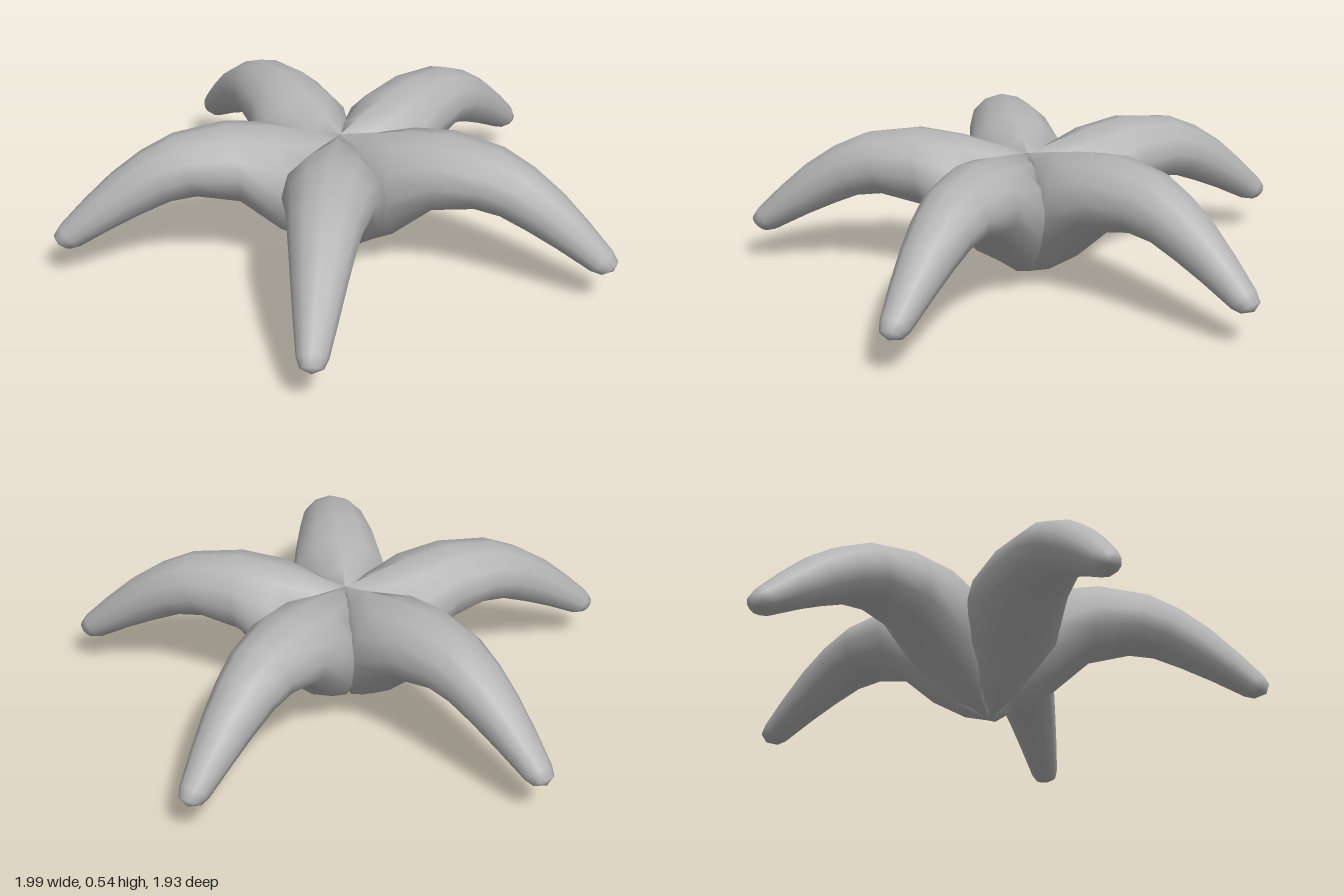
import * as THREE from 'three';

// Arm cross-sections from hub to tip: top (r, y), bottom (r, y), half-width
const SECTIONS = [
  [0, 0.46, 0, 0, 0.02],
  [0.1, 0.485, 0.1, 0.035, 0.125],
  [0.25, 0.52, 0.24, 0.125, 0.187],
  [0.41, 0.54, 0.38, 0.255, 0.158],
  [0.6, 0.515, 0.53, 0.29, 0.13],
  [0.72, 0.46, 0.62, 0.28, 0.112],
  [0.83, 0.385, 0.72, 0.24, 0.094],
  [0.93, 0.295, 0.83, 0.19, 0.075],
  [1.02, 0.205, 0.95, 0.128, 0.054],
  [1.043, 0.17, 0.985, 0.12, 0.04],
];
const TIP = [1.03, 0.135];
const SIDES = 12;

// Loft one arched, tapering arm along -z with a rounded tip
function armGeometry() {
  const positions = [];
  const indices = [];
  for (const [topR, topY, lowR, lowY, half] of SECTIONS) {
    for (let j = 0; j < SIDES; j++) {
      const t = (j / SIDES) * Math.PI * 2;
      const k = (Math.sin(t) + 1) / 2;
      positions.push(
        half * Math.cos(t),
        THREE.MathUtils.lerp(lowY, topY, k),
        -THREE.MathUtils.lerp(lowR, topR, k),
      );
    }
  }
  const apex = SECTIONS.length * SIDES;
  positions.push(0, TIP[1], -TIP[0]);
  for (let j = 0; j < SIDES; j++) {
    const n = (j + 1) % SIDES;
    for (let i = 0; i < SECTIONS.length - 1; i++) {
      const a = i * SIDES + j;
      const b = i * SIDES + n;
      indices.push(a, a + SIDES, b, b, a + SIDES, b + SIDES);
    }
    const last = apex - SIDES;
    indices.push(last + n, last + j, apex);
  }
  const geometry = new THREE.BufferGeometry();
  geometry.setAttribute('position', new THREE.Float32BufferAttribute(positions, 3));
  geometry.setIndex(indices);
  geometry.computeVertexNormals();
  return geometry;
}

export function createModel() {
  const group = new THREE.Group();
  group.name = 'starfish';
  const grey = new THREE.MeshStandardMaterial({ color: 0xb4b4b4 });
  grey.name = 'grey';

  // Five equal arms meet at the hub, turned slightly off the axis
  const geometry = armGeometry();
  for (let i = 0; i < 5; i++) {
    const arm = new THREE.Mesh(geometry, grey);
    arm.name = `arm${i + 1}`;
    arm.position.set(-0.02, 0, 0.07);
    arm.rotation.y = -THREE.MathUtils.degToRad(3.5 + i * 72);
    group.add(arm);
  }
  return group;
}
